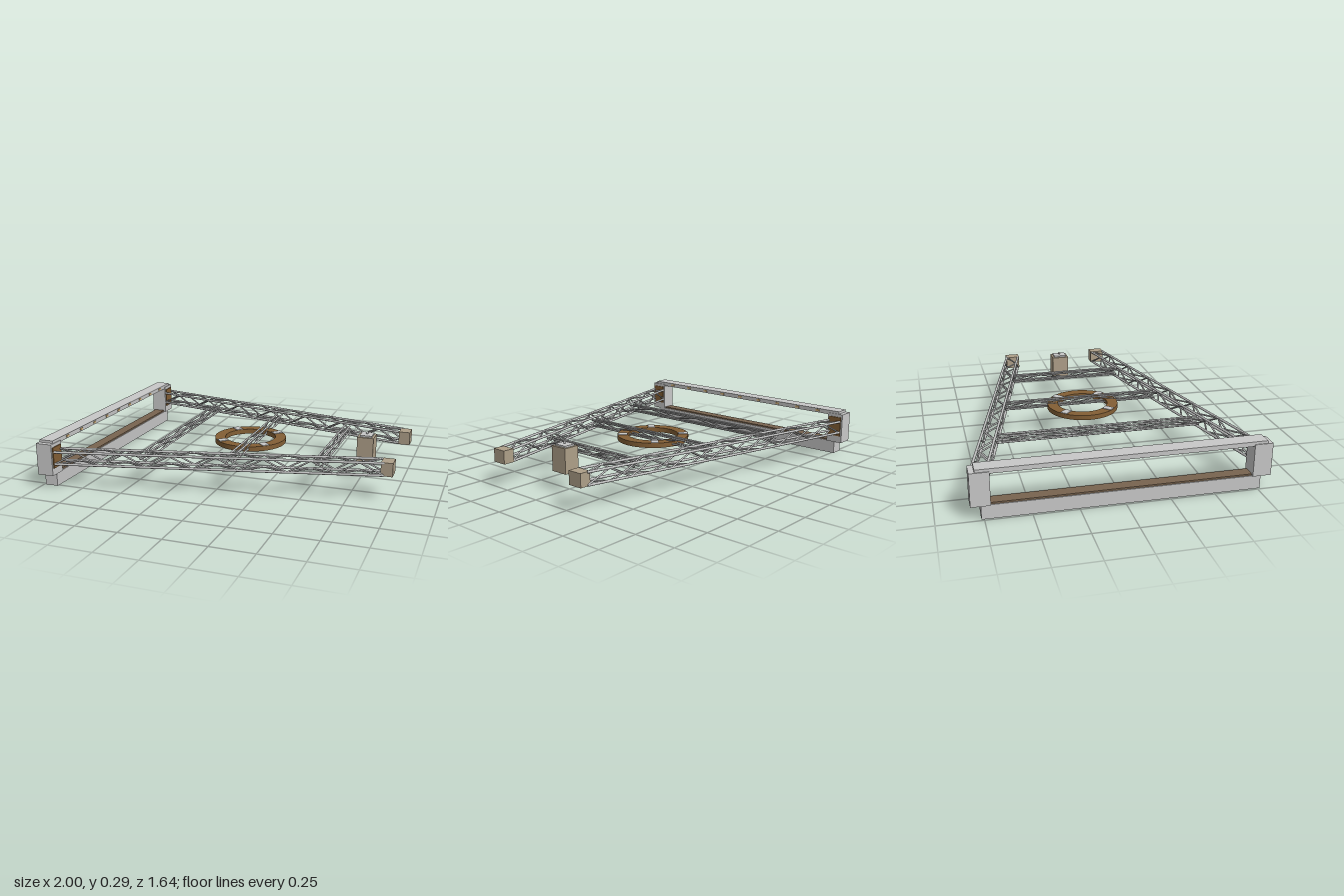
import * as THREE from 'three';

const mat = (name, color) => {
  const m = new THREE.MeshStandardMaterial({ color });
  m.name = name;
  return m;
};

export function createModel() {
  const grey = mat('lightGrey', 0xc8c8c8);
  const steel = mat('steelGrey', 0xbcbcbc);
  const tan = mat('tan', 0xae9f88);
  const brown = mat('brown', 0x835f35);
  const darkBrown = mat('darkBrown', 0x78644f);
  const amber = mat('paleAmber', 0xd2b078);

  const model = new THREE.Group();
  model.name = 'trussFrame';

  function add(parent, name, geometry, material, x = 0, y = 0, z = 0) {
    const mesh = new THREE.Mesh(geometry, material);
    mesh.name = name;
    mesh.position.set(x, y, z);
    parent.add(mesh);
    return mesh;
  }
  const box = (parent, name, material, w, h, d, x, y, z) =>
    add(parent, name, new THREE.BoxGeometry(w, h, d), material, x, y, z);

  // Round bar between two points
  function bar(parent, name, a, b, radius) {
    const dir = b.clone().sub(a);
    const m = add(parent, name, new THREE.CylinderGeometry(radius, radius, dir.length(), 16), steel);
    m.position.copy(a).add(b).multiplyScalar(0.5);
    m.quaternion.setFromUnitVectors(new THREE.Vector3(0, 1, 0), dir.normalize());
  }

  // Four-chord lattice truss from a to b, zigzag bracing on all four faces
  function truss(name, a, b, halfW, halfH, bays, chordR, braceR) {
    const group = new THREE.Group();
    group.name = name;
    model.add(group);
    const up = new THREE.Vector3(0, 1, 0);
    const side = b.clone().sub(a).normalize().cross(up).normalize();
    const point = (t, s, h) => a.clone().lerp(b, t)
      .addScaledVector(side, s * halfW).addScaledVector(up, h * halfH);
    for (const s of [-1, 1]) {
      for (const h of [-1, 1]) bar(group, 'chord', point(0, s, h), point(1, s, h), chordR);
    }
    for (let i = 0; i < bays; i++) {
      const t0 = i / bays, t1 = (i + 1) / bays, f = i % 2 ? 1 : -1;
      for (const k of [-1, 1]) {
        bar(group, 'flatBrace', point(t0, f * k, k), point(t1, -f * k, k), braceR);
        bar(group, 'sideBrace', point(t0, k, f), point(t1, k, -f), braceR);
      }
    }
  }

  // End frame: sill, top beam, lamps
  box(model, 'sillBeam', grey, 0.08, 0.08, 1.53, -0.95, 0.04, 0);
  box(model, 'sillPad', darkBrown, 0.07, 0.01, 1.43, -0.95, 0.085, 0);
  box(model, 'topBeam', grey, 0.09, 0.027, 1.58, -0.95, 0.272, 0);
  for (let i = -4; i <= 4; i++) {
    box(model, 'beamLamp', amber, 0.008, 0.012, 0.028, -0.905, 0.273, i * 0.158);
  }

  for (const s of [-1, 1]) {
    box(model, 'post', grey, 0.1, 0.19, 0.105, -0.95, 0.175, s * 0.767);
    box(model, 'mountPlate', brown, 0.008, 0.125, 0.085, -0.897, 0.1875, s * 0.767);
    // Converging side trusses with end blocks
    truss('sideTruss', new THREE.Vector3(-0.9, 0.187, s * 0.767),
      new THREE.Vector3(0.935, 0.187, s * 0.32), 0.04, 0.036, 14, 0.0075, 0.005);
    box(model, 'endBlock', tan, 0.068, 0.08, 0.09, 0.961, 0.187, s * 0.316);
    // Small studs along the inner edge
    for (let i = 0; i < 4; i++) {
      add(model, 'edgeStud', new THREE.SphereGeometry(0.004, 12, 8), steel,
        -0.48 + i * 0.39, 0.187, s * (0.585 - i * 0.088));
    }
  }

  // Cross trusses
  for (const [x, z] of [[-0.42, 0.61], [0.075, 0.49], [0.575, 0.365]]) {
    truss('crossTruss', new THREE.Vector3(x, 0.188, -z), new THREE.Vector3(x, 0.188, z),
      0.018, 0.018, Math.round(z * 10), 0.0055, 0.0035);
  }

  // Ring with four pads
  const ring = new THREE.Group();
  ring.name = 'ring';
  ring.position.set(0.033, 0.155, 0);
  model.add(ring);
  const shape = new THREE.Shape().absarc(0, 0, 0.224, 0, Math.PI * 2);
  shape.holes.push(new THREE.Path().absarc(0, 0, 0.158, 0, Math.PI * 2, true));
  const ringGeo = new THREE.ExtrudeGeometry(shape, { depth: 0.03, bevelEnabled: false, curveSegments: 40 });
  ringGeo.rotateX(-Math.PI / 2);
  add(ring, 'ringBody', ringGeo, brown);
  for (let i = 0; i < 4; i++) {
    const a = Math.PI / 4 + i * Math.PI / 2;
    const pad = box(ring, 'ringPad', grey, 0.06, 0.005, 0.045,
      Math.cos(a) * 0.191, 0.0315, Math.sin(a) * 0.191);
    pad.rotation.y = -a;
  }
  add(ring, 'centreMarker', new THREE.SphereGeometry(0.005, 12, 8), steel, 0, 0.03, 0);

  // Free-standing control box
  box(model, 'controlBox', tan, 0.098, 0.15, 0.11, 0.776, 0.19, 0);
  box(model, 'controlBoxLid', grey, 0.072, 0.01, 0.085, 0.776, 0.27, 0);
  add(model, 'lidKnob', new THREE.SphereGeometry(0.008, 12, 8), steel, 0.776, 0.283, 0);

  return model;
}
